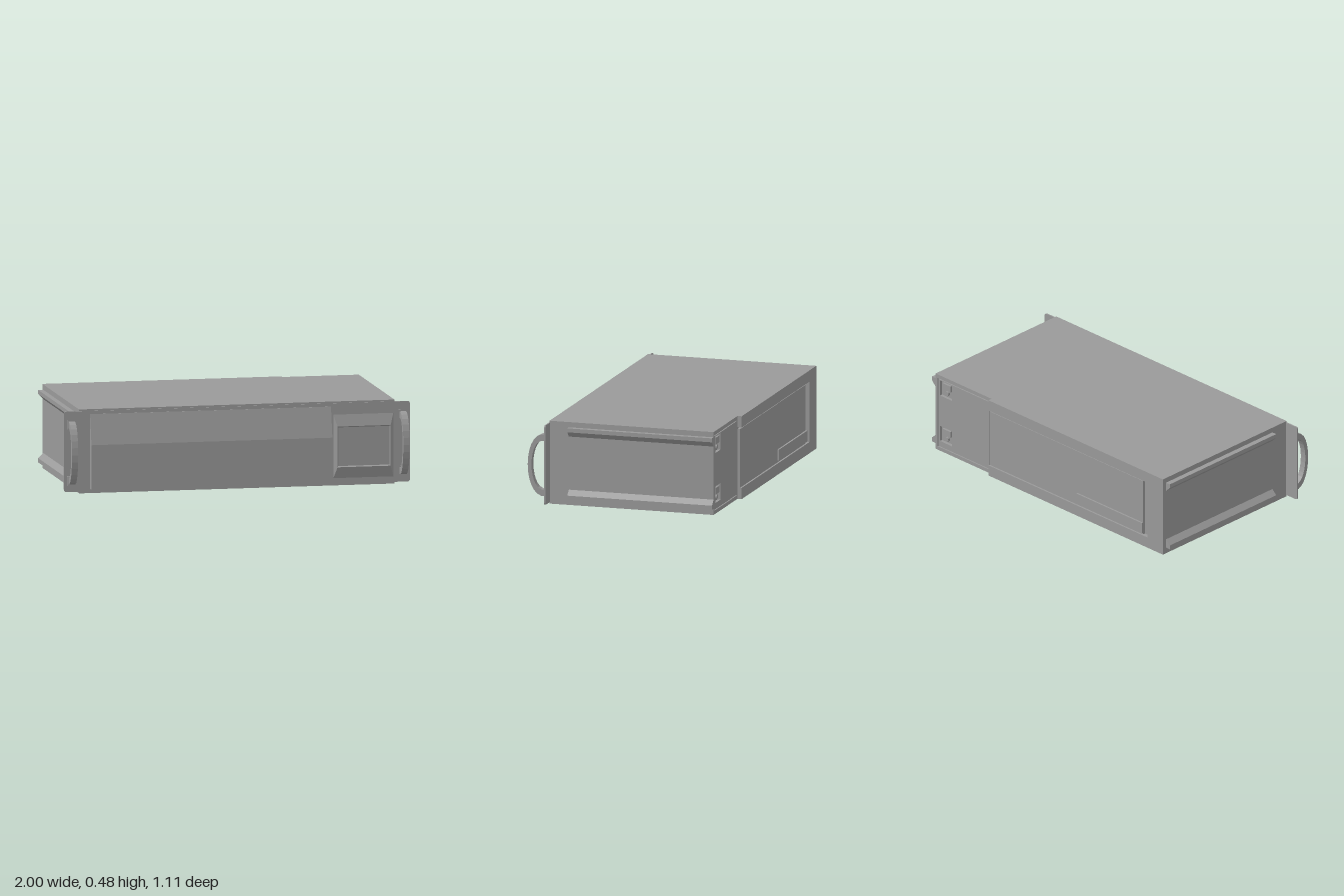
import * as THREE from 'three';

const material = new THREE.MeshStandardMaterial({ color: 0x9a9a9a, flatShading: true });

export function createModel() {
  const group = new THREE.Group();

  const add = (name, geometry) => {
    const mesh = new THREE.Mesh(geometry, material);
    mesh.name = name;
    group.add(mesh);
    return mesh;
  };

  // Box given by its limits on each axis
  const box = (name, x0, x1, y0, y1, z0, z1) => {
    const mesh = add(name, new THREE.BoxGeometry(x1 - x0, y1 - y0, z1 - z0));
    mesh.position.set((x0 + x1) / 2, (y0 + y1) / 2, (z0 + z1) / 2);
    return mesh;
  };

  const polygon = (points) => new THREE.Shape(points.map(([a, b]) => new THREE.Vector2(a, b)));
  const rectangle = (x0, x1, y0, y1) => polygon([[x0, y0], [x1, y0], [x1, y1], [x0, y1]]);

  // Outline in (x, y), extruded along z
  const extrudeZ = (name, shape, z0, z1) => {
    const geometry = new THREE.ExtrudeGeometry(shape, { depth: z1 - z0, bevelEnabled: false });
    add(name, geometry).position.z = z0;
  };

  // Side profile in (z, y), extruded along x
  const extrudeX = (name, shape, x0, x1) => {
    const geometry = new THREE.ExtrudeGeometry(shape, { depth: x1 - x0, bevelEnabled: false });
    geometry.rotateY(-Math.PI / 2);
    geometry.translate(x1, 0, 0);
    add(name, geometry);
  };

  // Chassis, closed at the back by a skin with an opening for the connectors
  box('chassis', -0.912, 0.912, 0, 0.48, -0.512, 0.445);
  const skin = rectangle(-0.912, 0.912, 0, 0.48);
  skin.holes.push(rectangle(0.486, 0.896, 0.022, 0.458));
  extrudeZ('rearSkin', skin, -0.53, -0.512);

  // Raised rear frame around a recessed middle
  box('rearTopFlange', -0.912, 0.47, 0.415, 0.48, -0.555, -0.53);
  box('rearBottomFlange', -0.912, 0.47, 0, 0.065, -0.555, -0.53);
  box('rearPost', -0.912, -0.79, 0.065, 0.415, -0.555, -0.53);
  box('rearPanel', -0.745, 0.47, 0.065, 0.405, -0.545, -0.53);
  box('rearLedge', -0.745, -0.225, 0.076, 0.14, -0.555, -0.545);

  // Connector plate with two sunken sockets
  const plate = rectangle(0.491, 0.891, 0.027, 0.453);
  for (const y of [0.40, 0.11]) {
    plate.holes.push(rectangle(0.782, 0.878, y - 0.048, y + 0.048));
    box('socketBlock', 0.798, 0.862, y - 0.002, y + 0.036, -0.527, -0.511);
    const pin = add('socketPin', new THREE.CylinderGeometry(0.014, 0.014, 0.014, 12));
    pin.rotation.x = Math.PI / 2;
    pin.position.set(0.83, y - 0.024, -0.518);
  }
  extrudeZ('connectorPlate', plate, -0.53, -0.512);

  // Mounting plate with rounded ears
  const ear = new THREE.Shape();
  const r = 0.015;
  ear.moveTo(-1 + r, 0.01);
  ear.lineTo(1 - r, 0.01);
  ear.quadraticCurveTo(1, 0.01, 1, 0.01 + r);
  ear.lineTo(1, 0.47 - r);
  ear.quadraticCurveTo(1, 0.47, 1 - r, 0.47);
  ear.lineTo(-1 + r, 0.47);
  ear.quadraticCurveTo(-1, 0.47, -1, 0.47 - r);
  ear.lineTo(-1, 0.01 + r);
  ear.quadraticCurveTo(-1, 0.01, -1 + r, 0.01);
  extrudeZ('mountingPlate', ear, 0.441, 0.449);

  // Bow-shaped handle outline in (z, y)
  const handle = new THREE.Shape();
  handle.moveTo(0.445, 0.055);
  handle.lineTo(0.475, 0.057);
  handle.bezierCurveTo(0.58, 0.085, 0.58, 0.385, 0.475, 0.412);
  handle.lineTo(0.445, 0.414);
  handle.lineTo(0.445, 0.376);
  handle.lineTo(0.475, 0.374);
  handle.bezierCurveTo(0.55, 0.35, 0.55, 0.12, 0.475, 0.095);
  handle.lineTo(0.445, 0.093);

  // Guide rails have an upright lip and a sloped inner side
  const lowerRail = [[0.9, 0.036], [0.942, 0.036], [0.942, 0.06], [0.9, 0.1]];
  const upperRail = [[0.9, 0.384], [0.942, 0.427], [0.942, 0.45], [0.9, 0.45]];
  for (const side of [-1, 1]) {
    const x = side * 0.958;
    extrudeX('handle', handle, x - 0.018, x + 0.018);
    for (const y of [0.074, 0.395]) box('handleFoot', x - 0.024, x + 0.024, y - 0.027, y + 0.027, 0.446, 0.454);
    for (const points of [lowerRail, upperRail]) {
      extrudeZ('guideRail', polygon(points.map(([a, b]) => [side * a, b])), -0.53, 0.33);
    }
  }

  // Front cover leaning back towards its top edge
  extrudeX('frontCover', polygon([
    [0.445, 0.025], [0.49, 0.025], [0.49, 0.28], [0.468, 0.38], [0.452, 0.452], [0.445, 0.452],
  ]), -0.85, 0.543);

  // Control panel: bevelled surround stepping back into a shallow recessed face
  const rings = [
    [0.553, 0.908, 0.028, 0.42, 0.445],
    [0.578, 0.885, 0.106, 0.339, 0.467],
    [0.584, 0.88, 0.112, 0.333, 0.459],
  ].map(([x0, x1, y0, y1, z]) => [[x0, y0, z], [x1, y0, z], [x1, y1, z], [x0, y1, z]]);
  const corners = [];
  const quad = (a, b, c, d) => corners.push(...a, ...b, ...c, ...a, ...c, ...d);
  for (let i = 0; i < rings.length - 1; i++) {
    for (let j = 0; j < 4; j++) {
      const k = (j + 1) % 4;
      quad(rings[i][j], rings[i][k], rings[i + 1][k], rings[i + 1][j]);
    }
  }
  quad(...rings[2]);
  const surround = new THREE.BufferGeometry();
  surround.setAttribute('position', new THREE.Float32BufferAttribute(corners, 3));
  surround.computeVertexNormals();
  add('controlPanel', surround);

  return group;
}
